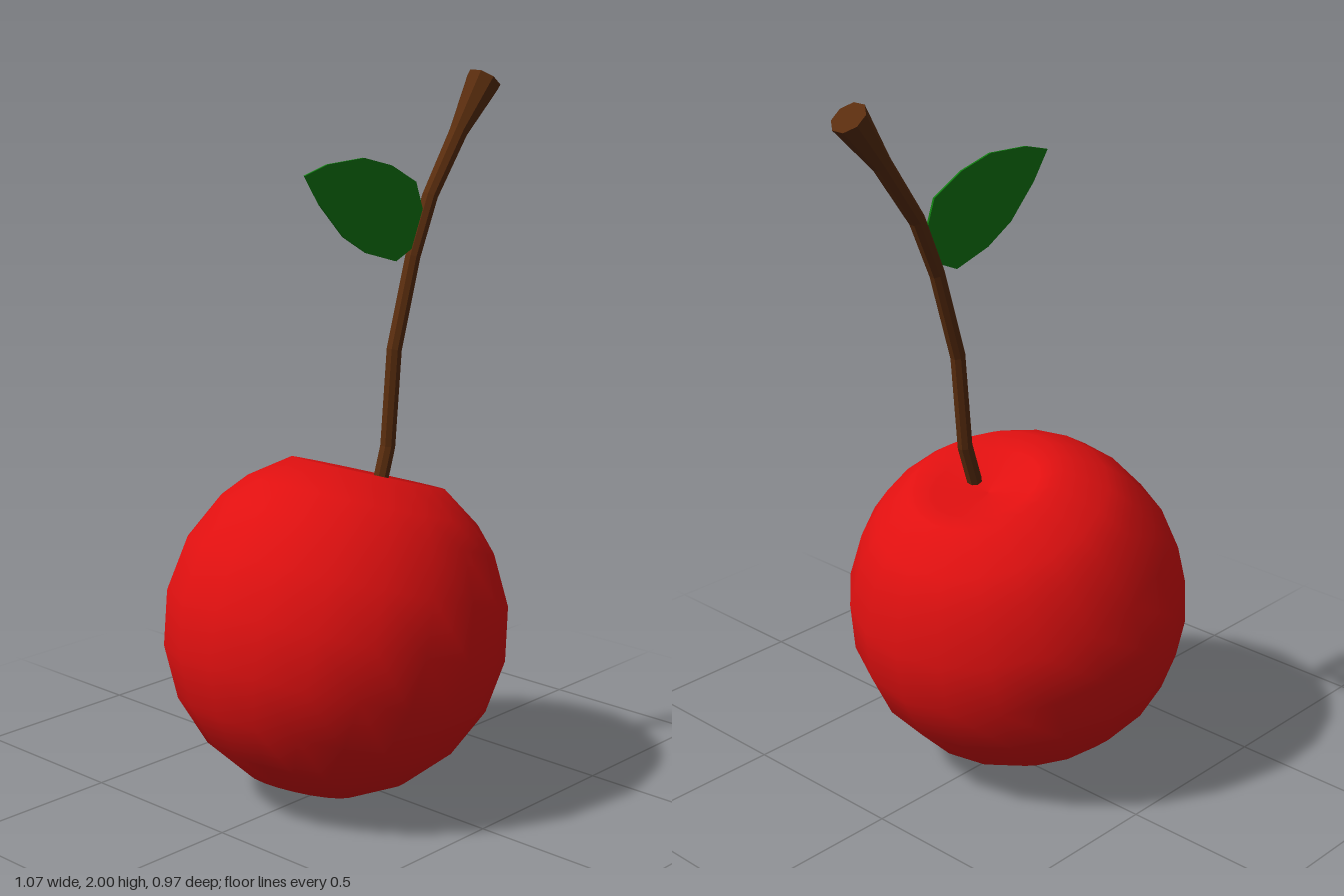
import * as THREE from 'three';

const mat = (color, extra = {}) => new THREE.MeshStandardMaterial({ color, ...extra });

// Fruit: a 20-sided ball with a shallow dimple, tilted toward +x
function makeFruit() {
  const R = 0.485;
  const profile = [];
  for (const deg of [180, 162, 144, 126, 108, 90, 72, 54, 43, 27]) {
    const a = THREE.MathUtils.degToRad(deg);
    profile.push(new THREE.Vector2(deg === 180 ? 0 : R * Math.sin(a), R * Math.cos(a)));
  }
  for (const [r, y] of [[0.15, 0.417], [0.06, 0.398], [0, 0.385]]) profile.push(new THREE.Vector2(r, y));
  const fruit = new THREE.Mesh(new THREE.LatheGeometry(profile, 20), mat(0xe01010));
  fruit.name = 'fruit';
  fruit.position.set(-0.052, R, 0);
  fruit.rotation.z = -Math.PI / 10;
  return fruit;
}

// Stem: octagonal cross-sections [x, y, radius] swept along a bent path
function makeStem() {
  const path = [
    [0.05, 0.84, 0.022], [0.095, 0.98, 0.022], [0.12, 1.25, 0.022], [0.195, 1.5, 0.022],
    [0.265, 1.66, 0.023], [0.385, 1.83, 0.027], [0.492, 1.966, 0.051],
  ];
  const sides = 8, positions = [], index = [];
  path.forEach(([x, y, r], i) => {
    const a = path[Math.max(i - 1, 0)], b = path[Math.min(i + 1, path.length - 1)];
    const dir = new THREE.Vector2(b[0] - a[0], b[1] - a[1]).normalize();
    for (let j = 0; j < sides; j++) {
      const t = ((j + 0.5) / sides) * Math.PI * 2;
      const u = r * Math.cos(t);
      positions.push(x + dir.y * u, y - dir.x * u, r * Math.sin(t));
      if (i === 0) continue;
      const k = (j + 1) % sides, lo = (i - 1) * sides, hi = i * sides;
      index.push(lo + j, hi + j, lo + k, lo + k, hi + j, hi + k);
    }
  });
  // End caps
  const top = (path.length - 1) * sides;
  for (let j = 1; j < sides - 1; j++) {
    index.push(0, j, j + 1, top, top + j + 1, top + j);
  }
  const geo = new THREE.BufferGeometry();
  geo.setAttribute('position', new THREE.Float32BufferAttribute(positions, 3));
  geo.setIndex(index);
  geo.computeVertexNormals();
  const stem = new THREE.Mesh(geo, mat(0x5a2d0e, { flatShading: true }));
  stem.name = 'stem';
  stem.position.z = 0.062;
  return stem;
}

// Leaf: thin flat blade attached to the stem
function makeLeaf() {
  const outline = [
    [-0.235, 1.755], [-0.18, 1.675], [-0.09, 1.582], [0, 1.53], [0.12, 1.495], [0.2, 1.53],
    [0.235, 1.61], [0.2, 1.705], [0.1, 1.757], [-0.01, 1.785], [-0.15, 1.778],
  ].map(([x, y]) => new THREE.Vector2(x, y));
  const geo = new THREE.ExtrudeGeometry(new THREE.Shape(outline), { depth: 0.006, bevelEnabled: false });
  const leaf = new THREE.Mesh(geo, mat(0x107c10, { flatShading: true }));
  leaf.name = 'leaf';
  leaf.position.z = 0.062;
  return leaf;
}

export function createModel() {
  const group = new THREE.Group();
  group.name = 'cherry';
  group.add(makeFruit(), makeStem(), makeLeaf());
  return group;
}
